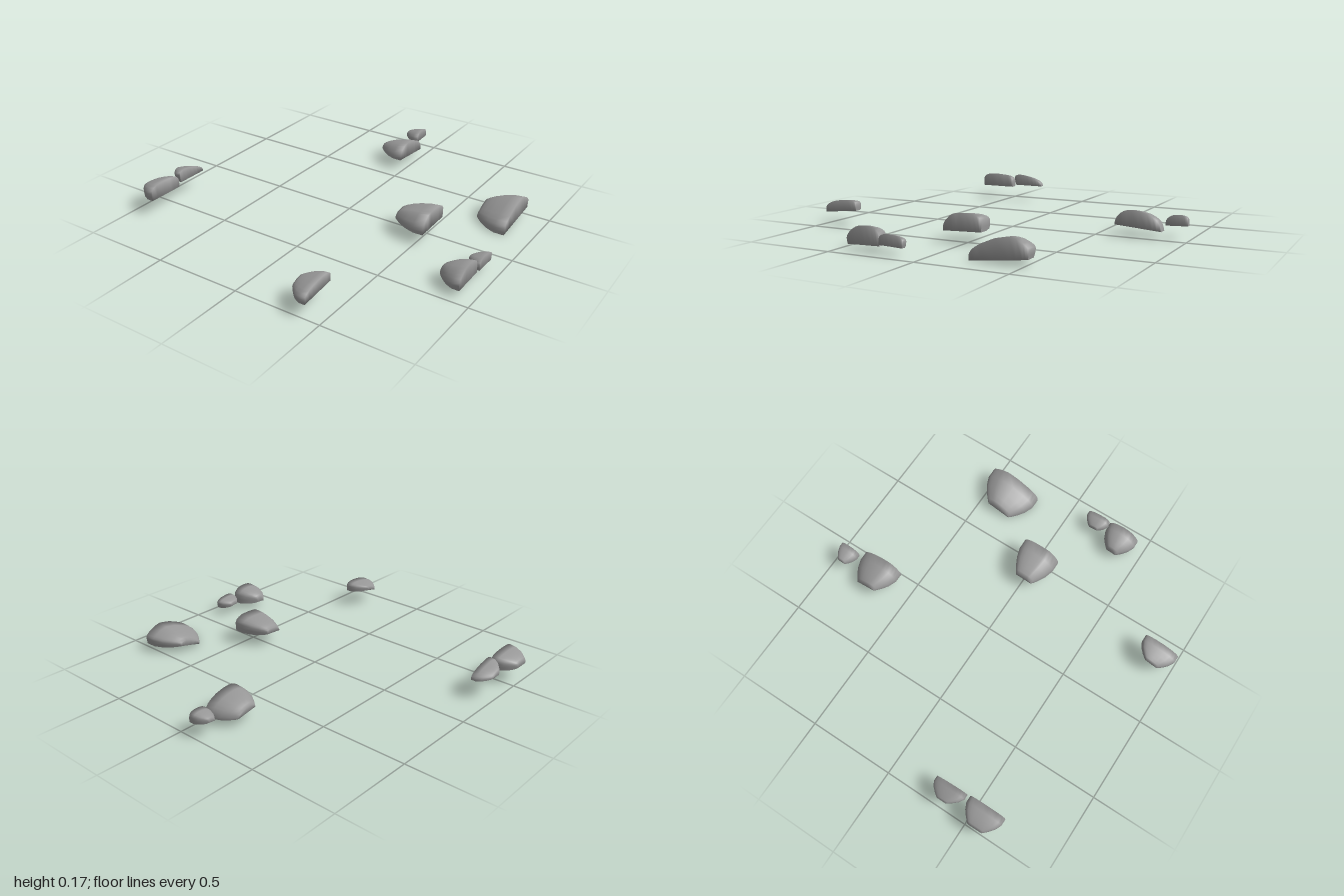
import * as THREE from 'three';

const material = new THREE.MeshStandardMaterial({ color: 0x979797 });

// Sections from the flat upright face (t = 0) to the low nose (t = 1): t, height, lift
const SECTIONS = [
  [0, 1, 0], [0.3, 0.92, 0], [0.57, 0.79, 0.002],
  [0.78, 0.64, 0.005], [0.92, 0.48, 0.009], [1, 0.32, 0.014],
];

// Half-buried stone: its [z, y] face outline at xFace, lofted down towards xNose
function stoneGeometry(xNose, xFace, noseWidth, outline) {
  const curve = new THREE.CatmullRomCurve3(outline.map(([z, y]) => new THREE.Vector3(0, y, z)));
  const top = curve.getPoints(14);
  const first = top[0], last = top[top.length - 1];
  const mid = (first.z + last.z) / 2;
  const base = z => first.y + (last.y - first.y) * (z - first.z) / (last.z - first.z);

  // Close the outline with underside points below the top ones
  const under = top.slice(1, -1).reverse().map(p => {
    const z = THREE.MathUtils.clamp(p.z, last.z, first.z);
    return new THREE.Vector3(0, base(z), z);
  });
  const ring = [...top, ...under];
  const n = ring.length;
  const positions = [], index = [];

  for (const [t, height, lift] of SECTIONS) {
    const width = 1 - (1 - noseWidth) * Math.max(0, (t - 0.3) / 0.7) ** 1.5;
    for (const p of ring) {
      const b = base(p.z);
      positions.push(
        xFace + (xNose - xFace) * t,
        b + (p.y - b) * height + lift,
        mid + (p.z - mid) * width,
      );
    }
  }
  for (let i = 0; i < SECTIONS.length - 1; i++) {
    for (let j = 0; j < n; j++) {
      const k = (j + 1) % n, a = i * n, d = a + n;
      index.push(a + j, a + k, d + j, a + k, d + k, d + j);
    }
  }
  // Upright face and nose, closed with strips between top and underside
  const e = (SECTIONS.length - 1) * n;
  for (let a = 0; a < top.length - 1; a++) {
    const b = a + 1, c = n - b, d = (n - a) % n;
    index.push(a, d, c, e + a, e + b, e + c);
    if (b !== c) index.push(a, c, b);
    if (a !== d) index.push(e + a, e + c, e + d);
  }
  const geometry = new THREE.BufferGeometry();
  geometry.setAttribute('position', new THREE.Float32BufferAttribute(positions, 3));
  geometry.setIndex(index);
  geometry.computeVertexNormals();
  return geometry;
}

export function createModel() {
  const group = new THREE.Group();
  group.name = 'scatteredStones';
  const addStone = (name, xNose, xFace, noseWidth, outline) => {
    const stone = new THREE.Mesh(stoneGeometry(xNose, xFace, noseWidth, outline), material);
    stone.name = name;
    group.add(stone);
  };

  // Single stones
  addStone('largeStone', 0.655, 0.855, 0.45, [[-0.21, 0], [-0.215, 0.04], [-0.26, 0.08],
    [-0.42, 0.135], [-0.5, 0.105], [-0.525, 0.08], [-0.52, 0.035]]);
  addStone('middleStone', 0.34, 0.54, 0.45, [[0.125, 0.06], [0.12, 0.1], [0.07, 0.15],
    [0.03, 0.157], [-0.06, 0.155], [-0.1, 0.13], [-0.1, 0.068]]);
  addStone('frontStone', 0.29, 0.41, 0.35, [[0.99, 0.07], [0.99, 0.1], [0.96, 0.125],
    [0.88, 0.145], [0.8, 0.145], [0.78, 0.13], [0.78, 0.09]]);

  // Left pair
  addStone('leftStone', 0.78, 0.92, 0.3, [[0.44, 0.03], [0.445, 0.065], [0.42, 0.1],
    [0.37, 0.128], [0.29, 0.125], [0.255, 0.1], [0.25, 0.035]]);
  addStone('leftSmallStone', 0.85, 0.93, 0.35, [[0.245, 0.045], [0.245, 0.08], [0.22, 0.1],
    [0.16, 0.1], [0.12, 0.09], [0.105, 0.075], [0.11, 0.04]]);

  // Right pair
  addStone('rightStone', -1, -0.873, 0.4, [[0.67, 0.085], [0.672, 0.135], [0.64, 0.163],
    [0.52, 0.165], [0.47, 0.153], [0.455, 0.13], [0.455, 0.085]]);
  addStone('rightSmallStone', -0.977, -0.88, 0.3, [[0.43, 0.1], [0.44, 0.155], [0.41, 0.17],
    [0.36, 0.165], [0.29, 0.145], [0.25, 0.12], [0.245, 0.1]]);

  // Back pair
  addStone('backStone', -0.195, -0.022, 0.45, [[-0.6, 0.06], [-0.605, 0.09], [-0.64, 0.13],
    [-0.69, 0.145], [-0.79, 0.125], [-0.845, 0.085], [-0.86, 0.04]]);
  addStone('backSmallStone', -0.155, -0.06, 0.35, [[-0.87, 0.07], [-0.873, 0.1], [-0.9, 0.125],
    [-0.95, 0.132], [-0.982, 0.122], [-0.99, 0.1], [-0.99, 0.075]]);

  return group;
}
